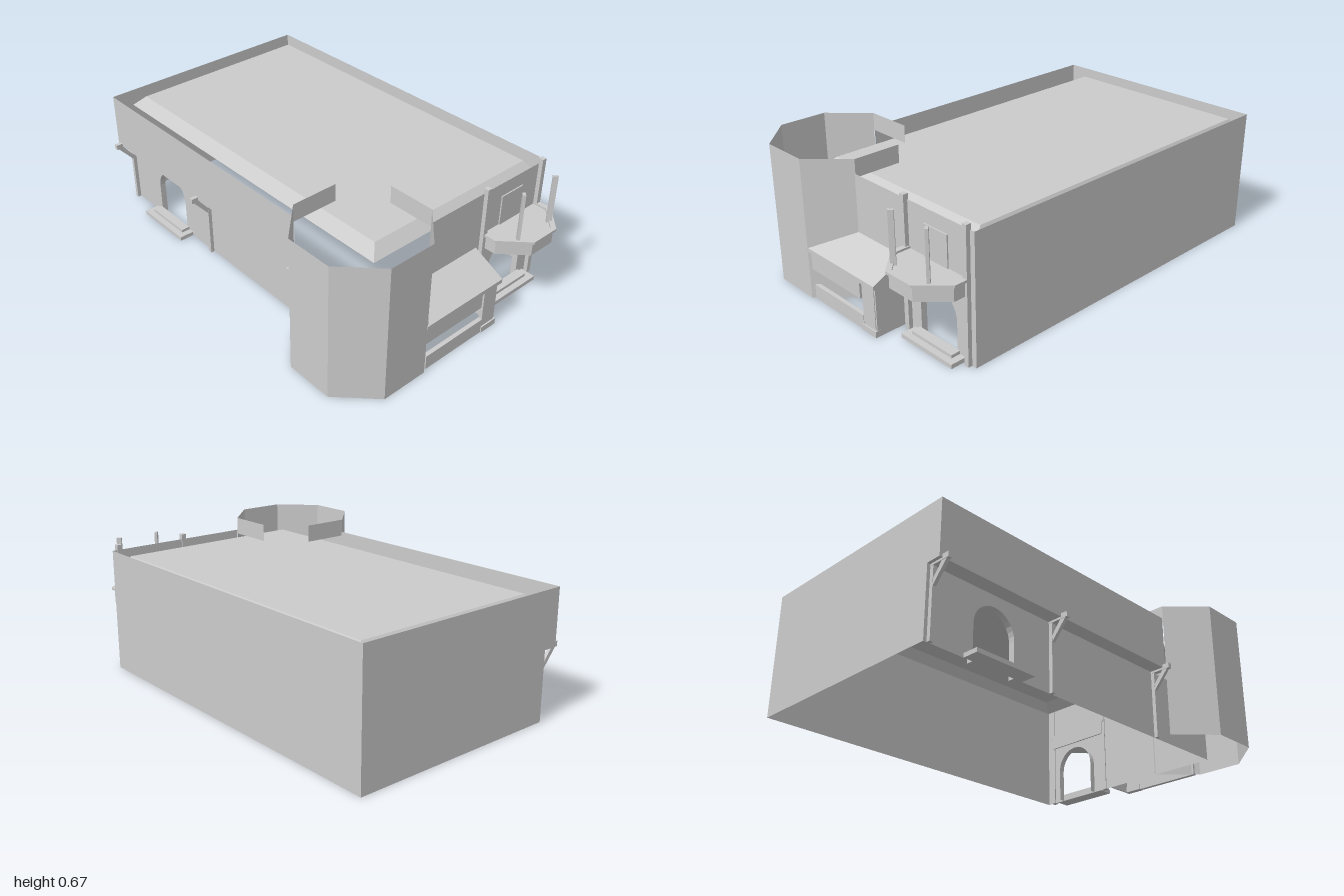
import * as THREE from 'three';

export function createModel() {
  const model = new THREE.Group();
  const plaster = new THREE.MeshStandardMaterial({ color: 0xcccccc, side: THREE.DoubleSide });
  plaster.name = 'plaster';

  const add = (name, geo, parent = model) => {
    const mesh = new THREE.Mesh(geo, plaster);
    mesh.name = name;
    parent.add(mesh);
    return mesh;
  };
  const group = (name) => {
    const g = new THREE.Group();
    g.name = name;
    model.add(g);
    return g;
  };
  // Box given by its limits on each axis
  const box = (name, x0, x1, y0, y1, z0, z1, parent) =>
    add(name, new THREE.BoxGeometry(x1 - x0, y1 - y0, z1 - z0)
      .translate((x0 + x1) / 2, (y0 + y1) / 2, (z0 + z1) / 2), parent);
  // Flat sheets, each a convex polygon of corners
  const sheets = (polys) => {
    const pos = [];
    for (const p of polys)
      for (let i = 1; i < p.length - 1; i++) pos.push(...p[0], ...p[i], ...p[i + 1]);
    const geo = new THREE.BufferGeometry();
    geo.setAttribute('position', new THREE.Float32BufferAttribute(pos, 3));
    geo.computeVertexNormals();
    return geo;
  };
  const shapeOf = (pts) => new THREE.Shape(pts.map(([x, y]) => new THREE.Vector2(x, y)));
  // Turns a drawing in (x, y) so that its x runs along z
  const alongZ = (geo, x) => geo.rotateY(-Math.PI / 2).translate(x, 0, 0);

  // Round-headed door outline
  const arch = (centre, half, top) => {
    const pts = [[centre + half, 0]];
    for (let i = 0; i <= 16; i++) {
      const a = (i / 16) * Math.PI;
      pts.push([centre + half * Math.cos(a), top - half + half * Math.sin(a)]);
    }
    pts.push([centre - half, 0]);
    return pts;
  };
  const reveal = (pts, depth) => sheets(pts.slice(1).map(([x, y], i) => {
    const [px, py] = pts[i];
    return [[px, py, 0], [x, y, 0], [x, y, depth], [px, py, depth]];
  }));
  const wallWithDoor = (outline, door) => {
    const s = shapeOf(outline);
    s.holes.push(new THREE.Path(door.map(([x, y]) => new THREE.Vector2(x, y))));
    return new THREE.ShapeGeometry(s);
  };

  const H = 0.605, J = 0.335, BACK = -0.655, LOW = 0.41, UP = 0.482, R = 0.8;

  // Main walls, with the upper front storey overhanging
  const frontDoor = arch(-0.643, 0.112, 0.28);
  const sideDoor = arch(-0.432, 0.112, 0.277);
  add('lowerFrontWall', wallWithDoor([[-1, 0], [R, 0], [R, J], [-1, J]], frontDoor).translate(0, 0, LOW));
  add('upperFrontWall', sheets([[[-1, J, UP], [0.4, J, UP], [0.4, H, UP], [-1, H, UP]]]));
  add('overhangSoffit', sheets([[[-1, J, LOW], [0.4, J, LOW], [0.4, J, UP], [-1, J, UP]]]));
  add('backWall', sheets([[[R, 0, BACK], [-1, 0, BACK], [-1, H, BACK], [R, H, BACK]]]));
  add('rightEndWall', alongZ(new THREE.ShapeGeometry(
    shapeOf([[BACK, 0], [LOW, 0], [LOW, J], [UP, J], [UP, H], [BACK, H]])), -1));
  add('leftEndWall', alongZ(wallWithDoor(
    [[BACK, 0], [LOW, 0], [LOW, J], [0.09, J], [0.09, H], [BACK, H]], sideDoor), R));
  add('frontDoorReveal', reveal(frontDoor, 0.03).translate(0, 0, LOW - 0.03));
  add('sideDoorReveal', alongZ(reveal(sideDoor, 0.03), R));

  // Roof deck with sloping borders
  const rect = (x0, x1, z0, z1, y) => [[x0, y, z0], [x0, y, z1], [x1, y, z1], [x1, y, z0]];
  const top = rect(-0.93, 0.72, -0.6, 0.335, 0.585);
  const rim = rect(-0.98, 0.77, -0.63, 0.385, 0.535);
  add('roofDeck', sheets([top]));
  add('roofBorder', sheets(top.map((p, i) => {
    const j = (i + 1) % 4;
    return [p, rim[i], rim[j], top[j]];
  })));

  // Octagonal corner tower: five full faces, two short ones above the roof
  const ring = [];
  for (let i = 0; i < 8; i++) {
    const a = ((i + 0.5) * Math.PI) / 4, r = 0.28 / Math.cos(Math.PI / 8);
    ring.push([0.68 + r * Math.cos(a), 0.37 + r * Math.sin(a)]);
  }
  const towerFaces = [];
  for (let i = 0; i < 8; i++) {
    if (i === 4) continue; // open towards the roof
    const [ax, az] = ring[i], [bx, bz] = ring[(i + 1) % 8];
    const y0 = i === 3 || i === 5 ? 0.585 : 0;
    towerFaces.push([[bx, y0, bz], [ax, y0, az], [ax, 0.67, az], [bx, 0.67, bz]]);
  }
  add('cornerTower', sheets(towerFaces));

  // Door steps
  box('frontLowerStep', -0.8, -0.485, 0, 0.02, LOW, 0.485);
  box('frontUpperStep', -0.765, -0.515, 0.02, 0.035, LOW, 0.455);
  box('sideLowerStep', R, 0.875, 0, 0.02, -0.59, -0.275);
  box('sideUpperStep', R, 0.845, 0.02, 0.035, -0.557, -0.308);

  // Timber posts with braces under the overhang
  for (const x of [-0.975, -0.315, 0.39]) {
    const g = group('frontPost');
    box('post', x - 0.009, x + 0.009, 0, J, LOW, 0.428, g);
    box('beamEnd', x - 0.01, x + 0.01, 0.325, 0.35, LOW, 0.515, g);
    const brace = new THREE.ExtrudeGeometry(
      shapeOf([[0.428, 0.235], [0.428, 0.265], [0.475, 0.325], [0.505, 0.325]]),
      { depth: 0.016, bevelEnabled: false });
    add('brace', alongZ(brace, x + 0.008), g);
  }

  // Balcony: outline inset by a given amount, raised from y0 to y1
  const outline = (d) => [[R - 0.008, -0.242 - d], [0.88 - d * 0.4, -0.242 - d], [1 - d, -0.36 - d * 0.4],
    [1 - d, -0.512 + d * 0.4], [0.88 - d * 0.4, -0.63 + d], [R - 0.008, -0.63 + d]];
  const slab = (d, y0, y1, hole) => {
    const s = shapeOf(outline(d).map(([x, z]) => [x, -z]));
    if (hole) s.holes.push(new THREE.Path(outline(hole).map(([x, z]) => new THREE.Vector2(x, -z))));
    return new THREE.ExtrudeGeometry(s, { depth: y1 - y0, bevelEnabled: false })
      .rotateX(-Math.PI / 2).translate(0, y0, 0);
  };
  const balcony = group('balcony');
  add('balconyBody', slab(0.012, 0.32, 0.388), balcony);
  add('balconyRim', slab(0, 0.386, 0.398, 0.024), balcony);
  for (const [z0, z1] of [[-0.26, -0.236], [-0.63, -0.606]])
    box('wallPole', R - 0.005, 0.82, 0, 0.63, z0, z1, balcony);
  for (const [z, turn] of [[-0.328, 1], [-0.543, -1]]) {
    const post = add('balconyPost', new THREE.BoxGeometry(0.014, 0.25, 0.024), balcony);
    post.position.set(0.935, 0.505, z);
    post.rotation.y = turn * Math.PI / 4;
  }
  box('balconyDoor', R, 0.806, 0.388, 0.537, -0.502, -0.36, balcony);

  // Lean-to stall between tower and balcony
  const stall = group('stall');
  const IN = 0.33, OUT = 0.25;
  add('stallRoof', sheets([[[R, IN, -0.217], [R, IN, 0.09], [0.96, OUT, 0.25], [0.96, OUT, -0.217]]]), stall);
  add('stallGable', sheets([[[R, 0.23, -0.217], [R, IN, -0.217], [0.96, OUT, -0.217], [0.96, 0.23, -0.217]]]), stall);
  box('fascia', 0.95, 0.96, 0.23, OUT, -0.217, 0.252, stall);
  box('upperPanel', 0.94, 0.95, 0.145, 0.23, -0.105, 0.245, stall);
  box('counterPanel', 0.93, 0.95, 0, 0.07, -0.12, 0.235, stall);
  box('tallPanel', 0.93, 0.948, 0.03, 0.23, -0.2, -0.12, stall);
  box('panelFoot', 0.925, 0.955, 0, 0.03, -0.208, -0.115, stall);
  box('sideWall', R, 0.945, 0, 0.23, -0.207, -0.2, stall);

  return model;
}
